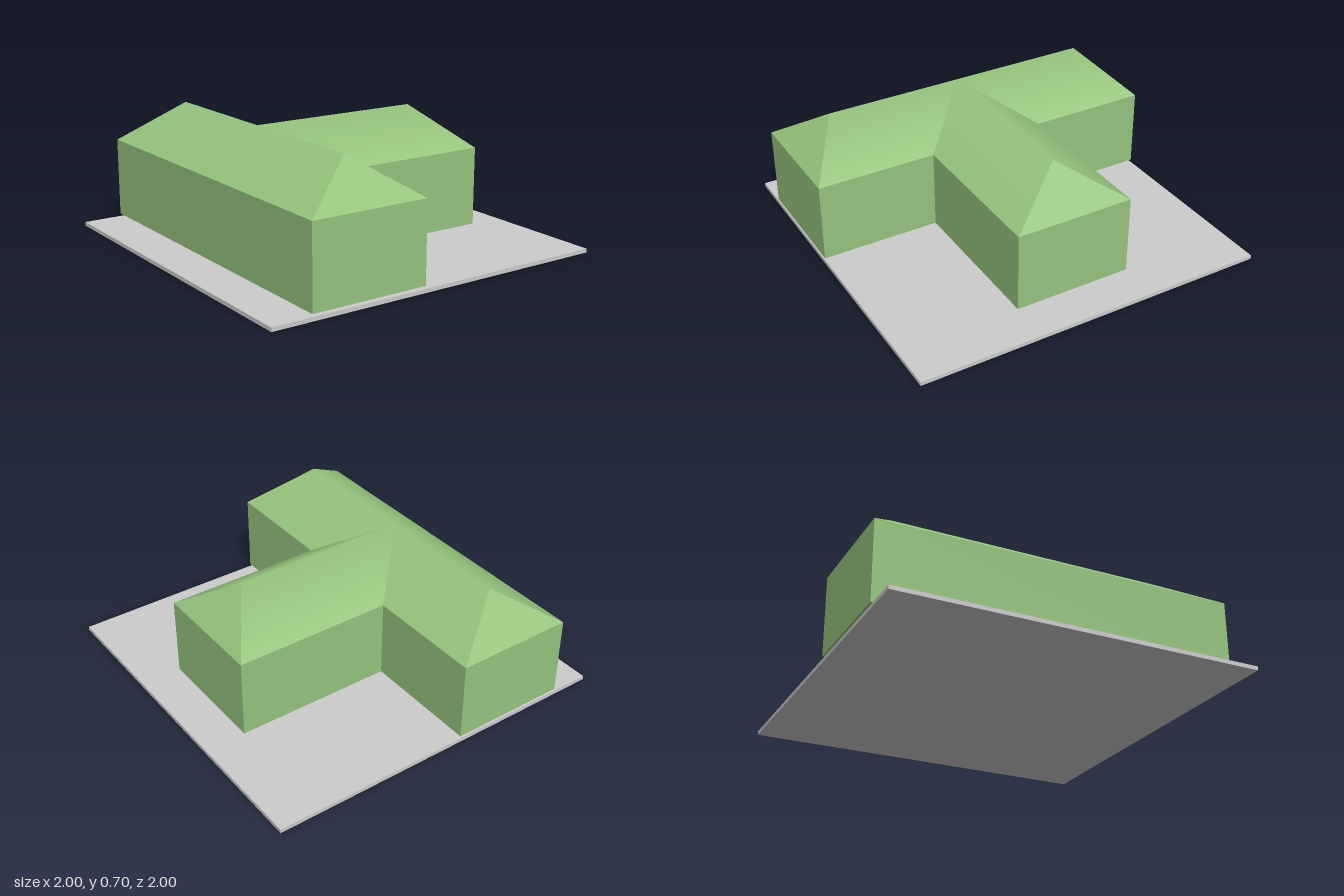
import * as THREE from 'three';

const HALF = 0.333;             // half width of both wings
const FLOOR = 0.037, EAVE = 0.48, RIDGE = 0.7;
const MAIN_X = -0.445;          // ridge line of the long wing
const INNER_X = MAIN_X + HALF;  // where the short wing meets the long one
const END_X = 0.778;

function surface(points, index) {
  const g = new THREE.BufferGeometry();
  g.setAttribute('position', new THREE.Float32BufferAttribute(points.flat(), 3));
  g.setIndex(index);
  g.computeVertexNormals();
  return g;
}

// Roof along z: eaves run from a to b, the ridge from ra to rb.
// The two slopes share the ridge so it shades softly; hipped ends stay crisp.
function makeRoof(name, material, a, b, ra, rb, hipAtStart) {
  const h = RIDGE - EAVE;
  const p = [
    [-HALF, 0, a], [0, h, ra], [HALF, 0, a],
    [-HALF, 0, b], [0, h, rb], [HALF, 0, b],
  ];
  const roof = new THREE.Group();
  roof.name = name;
  const add = (part, geometry) => {
    const mesh = new THREE.Mesh(geometry, material);
    mesh.name = part;
    roof.add(mesh);
  };
  add('roofSlopes', surface(p, [0, 3, 4, 0, 4, 1, 2, 4, 5, 2, 1, 4]));
  add('roofHipEnd', surface([p[3], p[5], p[4]], [0, 1, 2]));
  if (hipAtStart) add('roofHipStart', surface([p[0], p[1], p[2]], [0, 1, 2]));
  roof.position.y = EAVE;
  return roof;
}

export function createModel() {
  const green = new THREE.MeshStandardMaterial({ color: 0x96c47d });
  green.name = 'building green';
  const grey = new THREE.MeshStandardMaterial({ color: 0xcccccc });
  grey.name = 'ground grey';

  const model = new THREE.Group();
  model.name = 'hippedRoofBuilding';

  // Ground slab
  const slab = new THREE.Mesh(new THREE.BoxGeometry(2, 0.022, 2), grey);
  slab.name = 'groundSlab';
  slab.position.y = 0.011;
  model.add(slab);

  // Walls: T-shaped footprint raised to the eaves, just clear of the slab
  const outer = MAIN_X - HALF;
  const footprint = new THREE.Shape([
    [outer, -1], [INNER_X, -1], [INNER_X, -HALF], [END_X, -HALF],
    [END_X, HALF], [INNER_X, HALF], [INNER_X, 1], [outer, 1],
  ].map(([x, y]) => new THREE.Vector2(x, y)));
  const wallGeometry = new THREE.ExtrudeGeometry(footprint, { depth: EAVE - FLOOR, bevelEnabled: false });
  wallGeometry.rotateX(-Math.PI / 2);
  const walls = new THREE.Mesh(wallGeometry, green);
  walls.name = 'walls';
  walls.position.y = FLOOR;
  model.add(walls);

  // Long wing roof, hipped at both ends
  const mainRoof = makeRoof('mainRoof', green, -1, 1, -0.778, 0.778, true);
  mainRoof.position.x = MAIN_X;
  model.add(mainRoof);

  // Short wing roof, running into the long one along two valleys
  const wingRoof = makeRoof('wingRoof', green, INNER_X, END_X, MAIN_X, 0.556, false);
  wingRoof.rotation.y = Math.PI / 2;
  model.add(wingRoof);

  return model;
}
